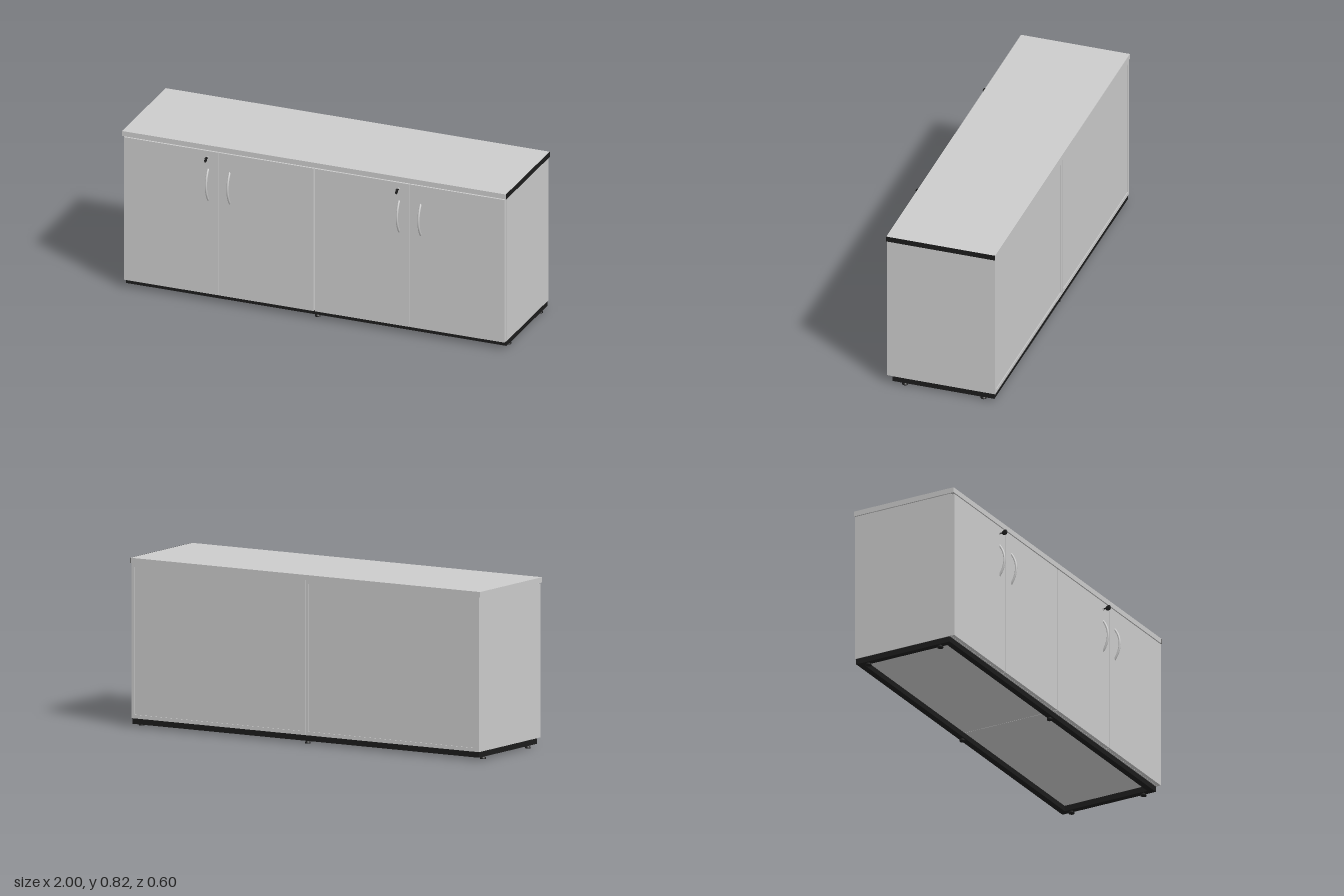
import * as THREE from 'three';

const grey = new THREE.MeshStandardMaterial({ color: 0xcccccc });
const black = new THREE.MeshStandardMaterial({ color: 0x1c1c1c });

// Box given by its lower and upper limits on each axis
function box(name, [x0, x1], [y0, y1], [z0, z1], material = grey) {
  const mesh = new THREE.Mesh(new THREE.BoxGeometry(x1 - x0, y1 - y0, z1 - z0), material);
  mesh.position.set((x0 + x1) / 2, (y0 + y1) / 2, (z0 + z1) / 2);
  mesh.name = name;
  return mesh;
}

// One two-door cabinet between x0 and x1
function cabinet(name, x0, x1) {
  const g = new THREE.Group();
  g.name = name;
  const t = 0.018, y0 = 0.042, y1 = 0.797, zb = -0.297, zf = 0.236;
  const inner = [x0 + t, x1 - t];
  g.add(
    box('sidePanel', [x0, x0 + t], [y0, y1], [zb, zf]),
    box('sidePanel', [x1 - t, x1], [y0, y1], [zb, zf]),
    box('bottomPanel', inner, [y0, y0 + t], [zb, zf]),
    box('topRail', inner, [y1 - t, y1], [zb, zf]),
    box('shelf', inner, [0.41, 0.41 + t], [zb + 0.02, zf - 0.02]),
    box('backPanel', inner, [y0 + t, y1 - t], [zb + 0.004, zb + 0.012])
  );
  // Overlay doors
  const mid = (x0 + x1) / 2, gap = 0.002;
  g.add(
    box('door', [x0 + gap, mid - gap], [y0, 0.792], [0.237, 0.255]),
    box('door', [mid + gap, x1 - gap], [y0, 0.792], [0.237, 0.255])
  );
  // Bowed handles either side of the door gap
  const arc = new THREE.CatmullRomCurve3([
    [0.532, 0.25], [0.55, 0.262], [0.58, 0.275], [0.615, 0.28],
    [0.65, 0.275], [0.68, 0.262], [0.698, 0.25]
  ].map(([y, z]) => new THREE.Vector3(0, y, z)));
  const handleGeometry = new THREE.TubeGeometry(arc, 32, 0.0055, 12);
  for (const s of [-1, 1]) {
    const handle = new THREE.Mesh(handleGeometry, grey);
    handle.name = 'handle';
    handle.position.x = mid + s * 0.056;
    g.add(handle);
  }
  g.add(lock(mid - 0.057));
  return g;
}

// Lock barrel with a flat oval key
function lock(x) {
  const g = new THREE.Group();
  g.name = 'lock';
  const disc = (name, r, z0, z1, mat) => {
    const m = new THREE.Mesh(new THREE.CylinderGeometry(r, r, z1 - z0, 20), mat);
    m.rotation.x = Math.PI / 2;
    m.position.z = (z0 + z1) / 2;
    m.name = name;
    return m;
  };
  const head = new THREE.Mesh(new THREE.SphereGeometry(1, 24, 16), black);
  head.scale.set(0.004, 0.014, 0.016);
  head.position.z = 0.282;
  head.name = 'keyHead';
  g.add(disc('lockBarrel', 0.008, 0.253, 0.258, grey), disc('keyStem', 0.003, 0.258, 0.27, black), head);
  g.position.set(x, 0.757, 0);
  return g;
}

// Rectangular base frame of square bar
function baseFrame() {
  const g = new THREE.Group();
  g.name = 'baseFrame';
  const X = 0.99, b = 0.03, y = [0.014, 0.042], zb = -0.292, zf = 0.228;
  g.add(
    box('frontBar', [-X, X], y, [zf - b, zf], black),
    box('backBar', [-X, X], y, [zb, zb + b], black),
    box('leftBar', [X - b, X], y, [zb + b, zf - b], black),
    box('rightBar', [-X, -X + b], y, [zb + b, zf - b], black)
  );
  return g;
}

export function createModel() {
  const model = new THREE.Group();
  model.name = 'sideboard';

  model.add(cabinet('rightCabinet', -0.993, -0.001), cabinet('leftCabinet', 0.001, 0.993));

  // Worktop with a dark edge strip on one end
  model.add(
    box('worktop', [-1, 0.998], [0.797, 0.823], [-0.298, 0.256]),
    box('worktopEdge', [0.998, 1], [0.797, 0.823], [-0.298, 0.256], black)
  );

  model.add(baseFrame());

  // Levelling feet under the end bars and mid-span
  const footGeometry = new THREE.LatheGeometry(
    [[0, 0], [0.014, 0], [0.014, 0.007], [0.007, 0.01], [0.007, 0.015], [0, 0.015]]
      .map(([r, y]) => new THREE.Vector2(r, y)), 20);
  const footMaterial = black;
  for (const [x, z] of [[-0.975, 0.168], [0.975, 0.168], [-0.975, -0.232], [0.975, -0.232], [0, 0.211], [0, -0.274]]) {
    const foot = new THREE.Mesh(footGeometry, footMaterial);
    foot.name = 'foot';
    foot.position.set(x, 0, z);
    model.add(foot);
  }
  return model;
}
